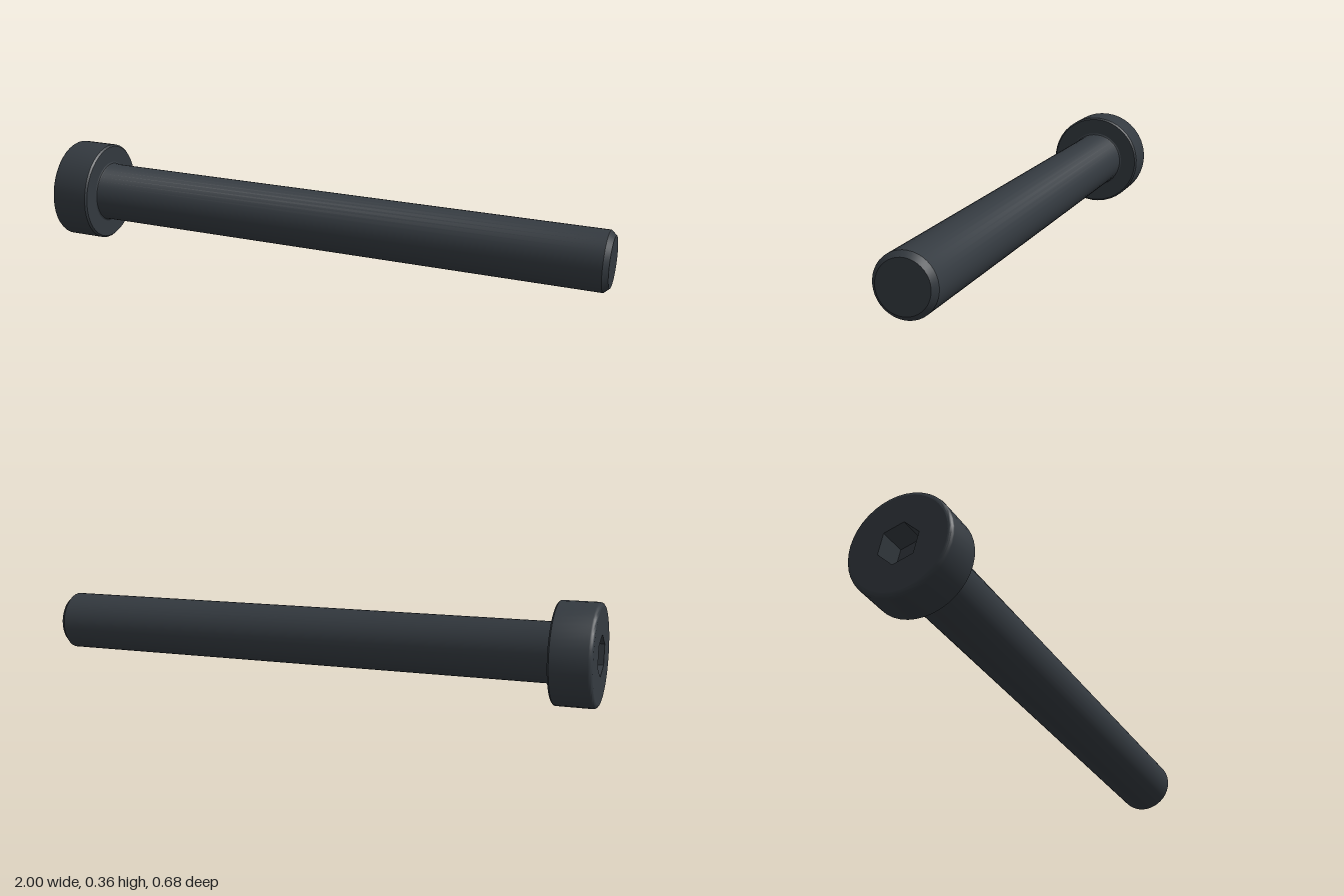
import * as THREE from 'three';
import { toCreasedNormals } from 'three/addons/utils/BufferGeometryUtils.js';

const SIDES = 40;
const LENGTH = 1.99, HEAD_H = 0.143, HEAD_R = 0.174, SHANK_R = 0.1025;
const FACE_R = 0.16, SOCKET_R = 0.07, SOCKET_DEPTH = 0.095;

export function createModel() {
  const steel = new THREE.MeshStandardMaterial({ color: 0x343a40, side: THREE.DoubleSide });
  steel.name = 'dark steel';

  // The bolt is built along +y, from the head face at y = 0 to the tip
  const bolt = new THREE.Group();
  bolt.name = 'bolt';
  const add = (name, geometry) => {
    const mesh = new THREE.Mesh(geometry, steel);
    mesh.name = name;
    bolt.add(mesh);
    return mesh;
  };
  const turned = (points) => toCreasedNormals(
    new THREE.LatheGeometry(points.map(([r, y]) => new THREE.Vector2(r, y)), SIDES), 0.5);

  // Head: rounded outer rim, small chamfer below
  const fillet = HEAD_R - FACE_R;
  const rim = [0, 1, 2, 3, 4].map((i) => {
    const a = (i / 4) * Math.PI / 2;
    return [FACE_R + fillet * Math.sin(a), fillet * (1 - Math.cos(a))];
  });
  add('head', turned([...rim,
    [HEAD_R, HEAD_H - 0.006], [HEAD_R - 0.006, HEAD_H], [SHANK_R + 0.008, HEAD_H]]));

  // Shank: fillet under the head, chamfered tip
  add('shank', turned([
    [SHANK_R + 0.008, HEAD_H], [SHANK_R + 0.0025, HEAD_H + 0.0025], [SHANK_R, HEAD_H + 0.008],
    [SHANK_R, LENGTH - 0.018], [0.086, LENGTH], [0, LENGTH]]));

  // Head face with hexagonal opening
  const face = new THREE.Shape().absarc(0, 0, FACE_R, 0, Math.PI * 2);
  const hexagon = Array.from({ length: 6 }, (_, i) => new THREE.Vector2(
    SOCKET_R * Math.cos(i * Math.PI / 3), SOCKET_R * Math.sin(i * Math.PI / 3)));
  face.holes.push(new THREE.Path(hexagon));
  add('headFace', new THREE.ShapeGeometry(face, SIDES).rotateX(Math.PI / 2));

  // Hex socket: flat walls and floor
  const walls = new THREE.CylinderGeometry(SOCKET_R, SOCKET_R, SOCKET_DEPTH, 6, 1, true, Math.PI / 6);
  add('socketWalls', toCreasedNormals(walls.translate(0, SOCKET_DEPTH / 2, 0), 0.5));
  add('socketFloor', new THREE.CircleGeometry(SOCKET_R, 6).rotateX(Math.PI / 2)
    .translate(0, SOCKET_DEPTH, 0));

  // Lay the bolt down so that head rim and tip both touch the ground
  const axis = new THREE.Vector3(1, -0.0417, 0.2138).normalize();
  bolt.quaternion.setFromUnitVectors(new THREE.Vector3(0, 1, 0), axis);
  bolt.position.set(-0.967, 0.183, -0.173);

  const model = new THREE.Group();
  model.name = 'socketHeadBolt';
  model.add(bolt);
  return model;
}
